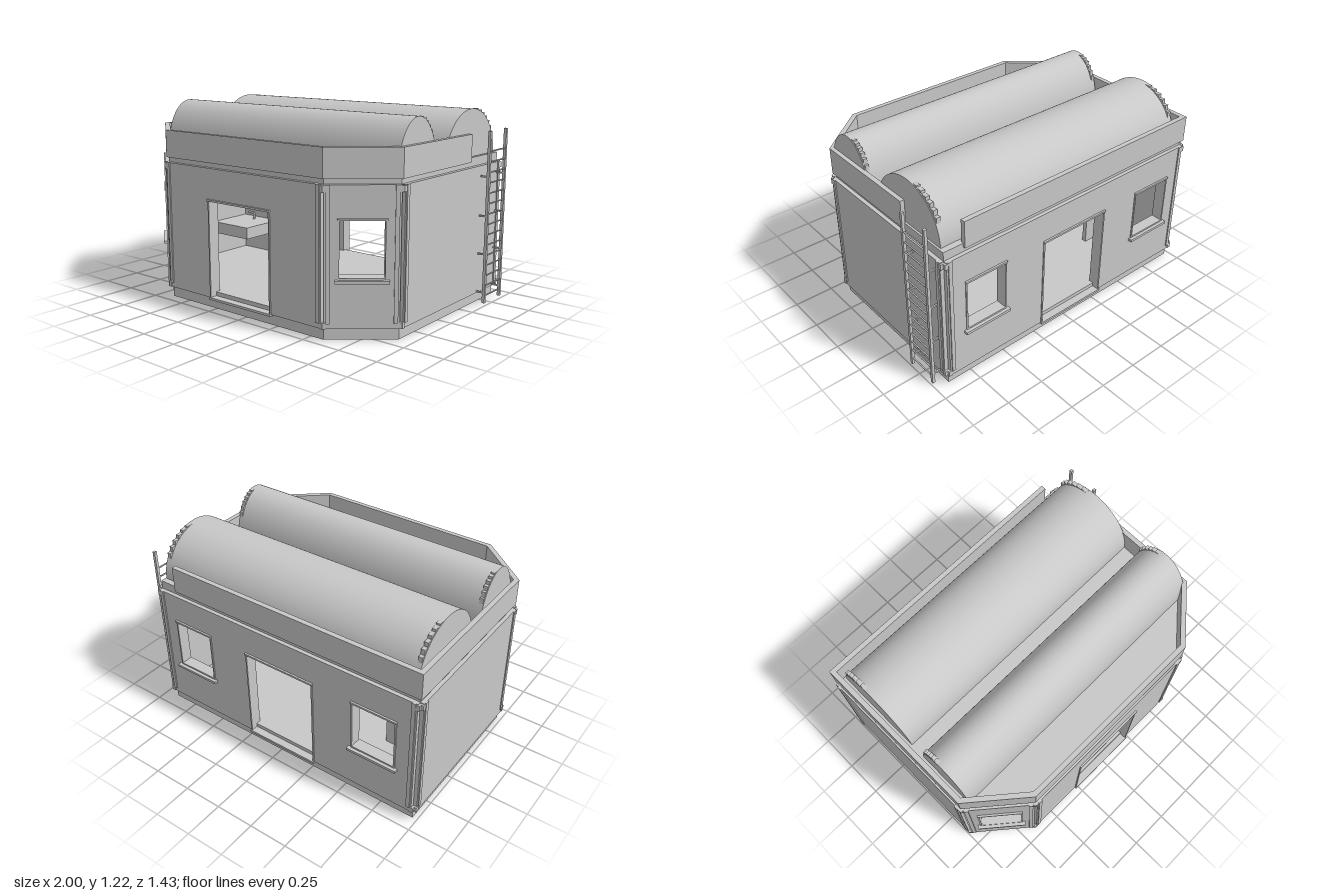
import * as THREE from 'three';

const grey = new THREE.MeshStandardMaterial({ color: 0xc8c8c8 });
grey.name = 'plain grey';

// Footprint corners [x, z]; walls run from each corner to the next, outward side on local +z
const corners = [[-0.65, 0.68], [0.59, 0.68], [0.91, 0.41], [0.91, -0.66], [-0.97, -0.66], [-0.97, 0.41]];

function add(parent, geometry, name) {
  const mesh = new THREE.Mesh(geometry, grey);
  mesh.name = name;
  parent.add(mesh);
  return mesh;
}

// Box given by its minimum and maximum along each axis
function box(parent, name, x0, x1, y0, y1, z0, z1) {
  const mesh = add(parent, new THREE.BoxGeometry(x1 - x0, y1 - y0, z1 - z0), name);
  mesh.position.set((x0 + x1) / 2, (y0 + y1) / 2, (z0 + z1) / 2);
  return mesh;
}

function rectPath(Type, x0, x1, y0, y1) {
  const p = new Type();
  p.moveTo(x0, y0); p.lineTo(x1, y0); p.lineTo(x1, y1); p.lineTo(x0, y1); p.closePath();
  return p;
}

// Upright slab with rectangular openings [x0, x1, y0, y1]
function slab(parent, name, x0, x1, y0, y1, z0, z1, holes) {
  const shape = rectPath(THREE.Shape, x0, x1, y0, y1);
  for (const h of holes) shape.holes.push(rectPath(THREE.Path, ...h));
  const mesh = add(parent, new THREE.ExtrudeGeometry(shape, { depth: z1 - z0, bevelEnabled: false }), name);
  mesh.position.z = z0;
}

// Horizontal plate following the footprint
function plate(parent, name, y0, y1) {
  const shape = new THREE.Shape(corners.map(([x, z]) => new THREE.Vector2((x + 0.03) * 0.98 - 0.03, -z * 0.98)));
  const geo = new THREE.ExtrudeGeometry(shape, { depth: y1 - y0, bevelEnabled: false });
  geo.rotateX(-Math.PI / 2);
  add(parent, geo, name).position.y = y0;
}

function heading(i) {
  const a = corners[(i + 6) % 6], b = corners[(i + 7) % 6];
  return Math.atan2(a[1] - b[1], b[0] - a[0]);
}

// How far an outer layer must reach past corner i to meet its neighbour
function mitre(i, offset) {
  const d = heading(i) - heading(i - 1);
  return offset * Math.abs(Math.tan(Math.atan2(Math.sin(d), Math.cos(d)) / 2));
}

function opening(wall, name, [x0, x1, y0, y1], isDoor) {
  box(wall, name + 'Lintel', x0 - 0.012, x1 + 0.012, y1, y1 + 0.012, 0.02, 0.036);
  if (isDoor) {
    box(wall, name + 'Sill', x0 - 0.012, x1 + 0.012, y0 - 0.01, y0 + 0.005, -0.03, 0.036);
  } else {
    box(wall, name + 'Sill', x0 - 0.025, x1 + 0.025, y0 - 0.027, y0 - 0.01, 0.02, 0.05);
    box(wall, name + 'Ledge', x0 - 0.01, x1 + 0.01, y0 - 0.01, y0, 0, 0.03);
  }
  for (const [a, b] of [[x0 - 0.01, x0], [x1, x1 + 0.01]]) box(wall, name + 'Jamb', a, b, y0, y1, 0.02, 0.03);
}

function buildWall(parent, i, openings) {
  const a = corners[i], b = corners[(i + 1) % 6];
  const len = Math.hypot(b[0] - a[0], b[1] - a[1]);
  const wall = new THREE.Group();
  wall.name = ['front', 'leftFrontCorner', 'left', 'back', 'right', 'rightFrontCorner'][i] + 'Wall';
  wall.position.set(a[0], 0, a[1]);
  wall.rotation.y = heading(i);
  parent.add(wall);

  const holes = openings.map(o => o.rect);
  slab(wall, 'wallCore', 0, len, 0, 0.93, -0.045, 0, holes);
  slab(wall, 'wallPanel', 0, len, 0.07, 0.875, 0, 0.024, holes);
  for (const o of openings) opening(wall, o.door ? 'door' : 'window', o.rect, o.door);

  // Corner strips and the small clamps at their ends
  for (const x of [0.022, len - 0.022]) {
    box(wall, 'cornerStrip', x - 0.012, x + 0.012, 0.1, 0.875, 0.024, 0.031);
  }
  for (const x of [0, len]) {
    for (const y of [0.07, 0.835]) box(wall, 'cornerClamp', x - 0.012, x + 0.012, y, y + 0.035, 0.004, 0.028);
  }

  // Parapet, left open at the corner beside the ladder
  const x0 = i === 3 ? 0.13 : -mitre(i, 0.016);
  const x1 = i === 2 ? 0.72 : len + mitre(i + 1, 0.016);
  box(wall, 'parapet', x0, x1, 0.905, 1.075, -0.015, 0.016);
}

// Half-round roof vault with a stepped edge on its rear slope
function buildVault(parent, name, z, halfWidth) {
  const group = new THREE.Group();
  group.name = name;
  group.position.set(-0.015, 0.933, z);
  parent.add(group);
  const geo = new THREE.CylinderGeometry(0.29, 0.29, 1.83, 48, 1, false, 0, Math.PI);
  geo.rotateZ(Math.PI / 2);
  add(group, geo, 'vaultShell').scale.z = halfWidth / 0.29;
  for (let k = 0; k < 6; k++) {
    const t = 0.27 + k * 0.155;
    const top = 0.29 * Math.cos(t - 0.1), outer = halfWidth * Math.sin(t + 0.05);
    for (const x of [-0.912, 0.885]) {
      box(group, 'vaultStep', x, x + 0.025, top - 0.04, top, -outer, -outer + 0.04);
    }
  }
}

function rod(parent, name, from, to, radius) {
  const a = new THREE.Vector3(...from), b = new THREE.Vector3(...to);
  const mesh = add(parent, new THREE.CylinderGeometry(radius, radius, a.distanceTo(b), 8), name);
  mesh.position.copy(a).add(b).multiplyScalar(0.5);
  mesh.quaternion.setFromUnitVectors(new THREE.Vector3(0, 1, 0), b.sub(a).normalize());
}

function buildLadder(parent) {
  const ladder = new THREE.Group();
  ladder.name = 'ladder';
  parent.add(ladder);
  for (const z of [-0.415, -0.615]) {
    box(ladder, 'ladderRail', 0.978, 0.996, 0.015, 1.09, z - 0.009, z + 0.009);
    for (const y of [0.08, 0.325, 0.565, 0.81]) box(ladder, 'ladderBracket', 0.92, 0.98, y - 0.005, y + 0.005, z - 0.005, z + 0.005);
  }
  for (let k = 0; k < 15; k++) {
    const y = 0.06 + k * 0.0647;
    rod(ladder, 'ladderRung', [0.987, y, -0.415], [0.987, y, -0.615], 0.005);
  }
}

function buildInterior(parent) {
  const room = new THREE.Group();
  room.name = 'interior';
  parent.add(room);
  // Counter, basin and tap
  box(room, 'counterBack', -0.925, -0.55, 0.1, 0.51, -0.3, -0.27);
  box(room, 'basin', -0.925, -0.6, 0.26, 0.34, -0.27, 0.05);
  rod(room, 'tapStem', [-0.77, 0.34, -0.2], [-0.77, 0.39, -0.2], 0.009);
  rod(room, 'tapSpout', [-0.77, 0.385, -0.2], [-0.82, 0.385, -0.2], 0.009);
  // Wall pipes
  rod(room, 'standPipe', [0.76, 0.1, -0.2], [0.76, 0.64, -0.2], 0.008);
  rod(room, 'tallPipe', [0.81, 0.1, -0.2], [0.81, 0.86, -0.2], 0.012);
  rod(room, 'crossPipe', [0.75, 0.55, -0.2], [0.865, 0.55, -0.2], 0.008);
  // Hanging lamp on a ceiling pipe
  rod(room, 'ceilingPipe', [-0.5, 0.78, -0.6], [-0.5, 0.78, 0.3], 0.01);
  rod(room, 'hangingLamp', [-0.5, 0.7, -0.1], [-0.5, 0.78, -0.1], 0.035);
}

export function createModel() {
  const model = new THREE.Group();
  model.name = 'building';

  const door = rect => ({ rect, door: true });
  const windowAt = (x0, x1) => ({ rect: [x0, x1, 0.36, 0.68], door: false });
  const cornerLen = Math.hypot(0.32, 0.27);
  const cornerWindow = windowAt(cornerLen / 2 - 0.125, cornerLen / 2 + 0.125);
  const openings = [
    [door([0.38, 0.86, 0.07, 0.675])],
    [cornerWindow],
    [],
    [windowAt(0.13, 0.4), door([0.7, 1.18, 0.07, 0.675]), windowAt(1.47, 1.75)],
    [],
    [cornerWindow],
  ];
  openings.forEach((list, i) => buildWall(model, i, list));

  plate(model, 'floor', 0, 0.1);
  plate(model, 'roof', 0.86, 0.93);
  buildVault(model, 'rearVault', -0.337, 0.288);
  buildVault(model, 'frontVault', 0.243, 0.19);
  buildLadder(model);
  buildInterior(model);
  return model;
}
